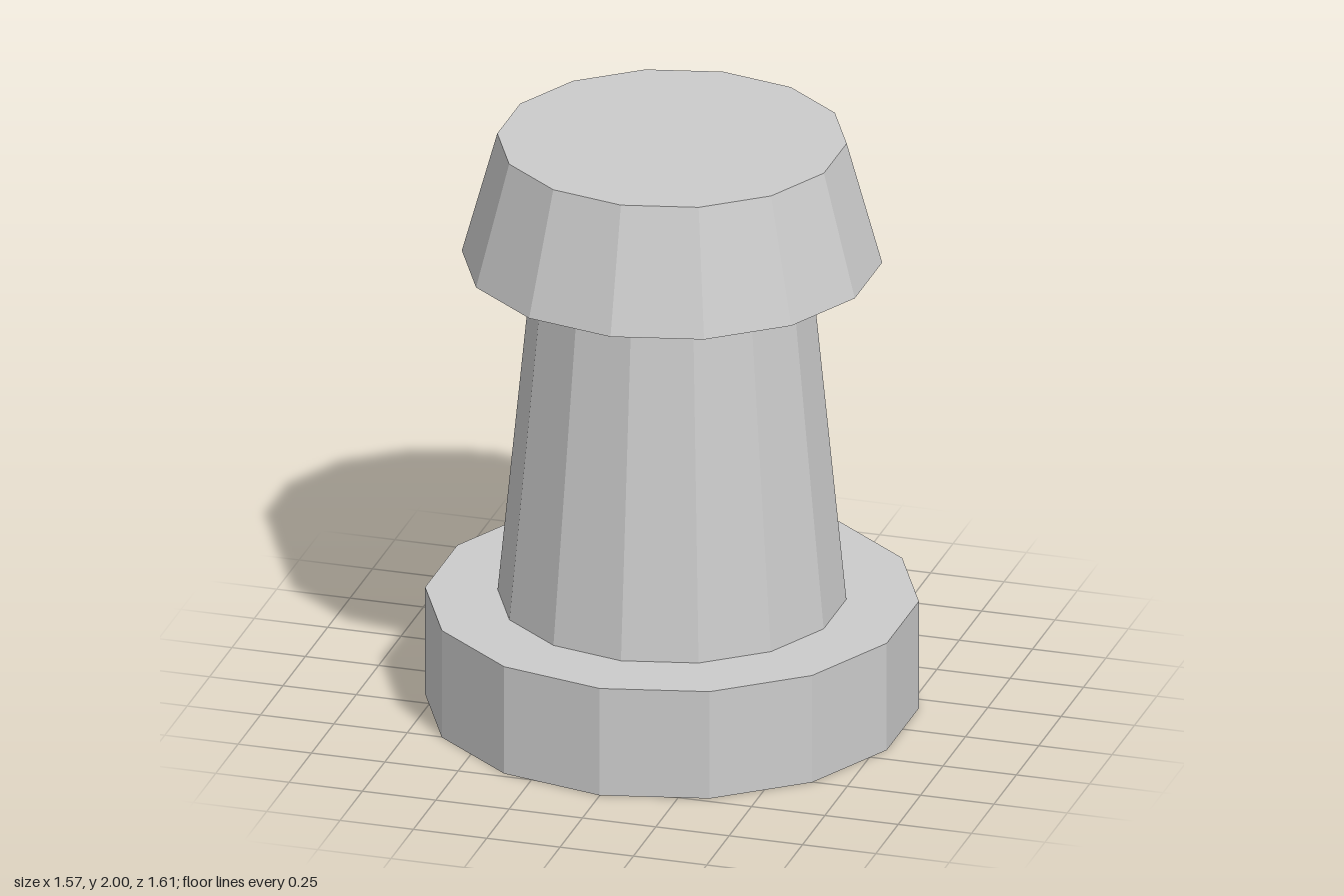
import * as THREE from 'three';

const SIDES = 14;

export function createModel() {
  const model = new THREE.Group();
  const material = new THREE.MeshStandardMaterial({ color: 0xcccccc, flatShading: true });

  // Capped 14-sided frustum standing between two heights
  function addFrustum(name, bottomRadius, topRadius, y0, y1) {
    const geometry = new THREE.CylinderGeometry(topRadius, bottomRadius, y1 - y0, SIDES);
    const mesh = new THREE.Mesh(geometry, material);
    mesh.name = name;
    mesh.position.y = (y0 + y1) / 2;
    model.add(mesh);
  }

  addFrustum('base', 0.807, 0.807, 0, 0.38);
  addFrustum('shaft', 0.57, 0.453, 0.38, 1.58);
  addFrustum('cap', 0.687, 0.571, 1.58, 2);

  return model;
}
